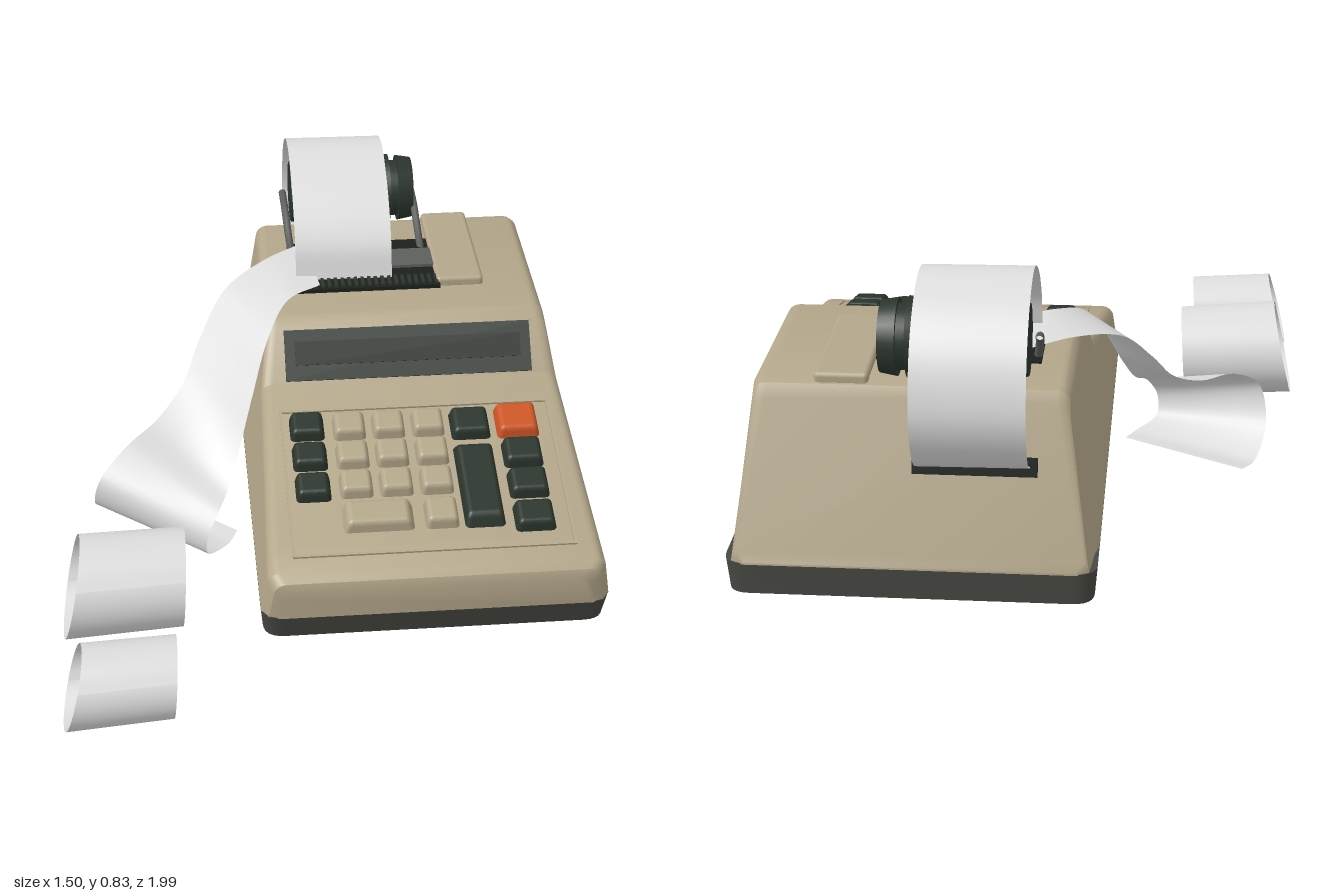
import * as THREE from 'three';
import { RoundedBoxGeometry } from 'three/addons/geometries/RoundedBoxGeometry.js';
import { toCreasedNormals } from 'three/addons/utils/BufferGeometryUtils.js';

const CX = 0.27; // centre line of the machine

const material = (name, color, side = THREE.FrontSide) => {
  const m = new THREE.MeshStandardMaterial({ color, side });
  m.name = name;
  return m;
};

// Skin a list of equally long point rows
function loft(rows, caps = false) {
  const n = rows[0].length, index = [];
  for (let i = 0; i < rows.length - 1; i++)
    for (let j = 0; j < n - 1; j++) {
      const a = i * n + j, b = a + n;
      index.push(a, b, a + 1, a + 1, b, b + 1);
    }
  if (caps) {
    const e = (rows.length - 1) * n;
    for (let j = 1; j < n - 1; j++) index.push(0, j, j + 1, e, e + j + 1, e + j);
  }
  const g = new THREE.BufferGeometry();
  g.setAttribute('position', new THREE.Float32BufferAttribute(rows.flat(2), 3));
  g.setIndex(index);
  g.computeVertexNormals();
  return g;
}

// Housing: cross-sections running from front to back [z, top, inset]
function housingGeometry() {
  const stations = [[0.62, 0.19, 0.05], [0.612, 0.212, 0.02], [0.585, 0.23, 0], [0.5, 0.251, 0],
    [-0.09, 0.395, 0], [-0.2, 0.52, 0], [-0.235, 0.54, 0], [-0.74, 0.553, 0],
    [-0.775, 0.542, 0.005], [-0.795, 0.51, 0.01], [-0.895, 0.12, 0.02], [-0.91, 0.095, 0.05]];
  const rows = stations.map(([z, top, inset]) => {
    const r = Math.min(0.035, (top - 0.09) * 0.5);
    const half = y => 0.48 - 0.165 * (y - 0.09) - inset;
    const side = [[half(0.09), 0.09], [half(top - r), top - r]];
    for (let k = 1; k <= 4; k++) {
      const a = k * Math.PI / 8;
      side.push([half(top - r) - r * (1 - Math.cos(a)), top - r + r * Math.sin(a)]);
    }
    const put = (x, y) => [CX + x, y, z > 0.49 ? z - (top - y) * 0.15 : z];
    return [...side.map(([x, y]) => put(x, y)), ...side.reverse().map(([x, y]) => put(-x, y))];
  });
  return toCreasedNormals(loft(rows, true), 0.5);
}

// Base tray: rounded plan, narrower at the bottom
function baseGeometry() {
  const s = new THREE.Shape(), w = 0.48, f = -0.605, b = 0.91, r = 0.06;
  s.moveTo(-w + r, f).lineTo(w - r, f).quadraticCurveTo(w, f, w, f + r)
    .lineTo(w, b - r).quadraticCurveTo(w, b, w - r, b)
    .lineTo(-w + r, b).quadraticCurveTo(-w, b, -w, b - r)
    .lineTo(-w, f + r).quadraticCurveTo(-w, f, -w + r, f);
  const g = new THREE.ExtrudeGeometry(s, { depth: 0.088, bevelEnabled: false, curveSegments: 6 });
  g.rotateX(-Math.PI / 2).translate(CX, 0.005, 0);
  const p = g.attributes.position;
  for (let i = 0; i < p.count; i++) if (p.getY(i) < 0.05) {
    p.setX(i, CX + (p.getX(i) - CX) * 0.985);
    p.setZ(i, p.getZ(i) > 0 ? p.getZ(i) * 0.95 : p.getZ(i) * 0.993);
  }
  return toCreasedNormals(g, 0.6);
}

// Key cap tapering towards its top, with a small dish
function keyGeometry(w, d) {
  const h = 0.055, g = new RoundedBoxGeometry(w, h, d, 3, 0.014), p = g.attributes.position;
  for (let i = 0; i < p.count; i++) {
    const t = p.getY(i) / h + 0.5;
    p.setX(i, p.getX(i) * (1 - 0.2 * t));
    p.setZ(i, p.getZ(i) * (1 - 0.2 * t));
  }
  g.computeVertexNormals();
  return g;
}

const vectors = list => list.map(p => new THREE.Vector3(...p));

// Paper strip ruled between two edge curves
function stripGeometry(edgeA, edgeB, steps = 60) {
  const a = new THREE.CatmullRomCurve3(vectors(edgeA)), b = new THREE.CatmullRomCurve3(vectors(edgeB));
  const rows = [];
  for (let i = 0; i <= steps; i++) {
    const p = a.getPoint(i / steps), q = b.getPoint(i / steps);
    rows.push([0, 0.25, 0.5, 0.75, 1].map(t => p.clone().lerp(q, t).toArray()));
  }
  return loft(rows);
}

// Loose curl: a spiral of one and a half turns between two end centres
function curlGeometry(left, right, radius) {
  const edge = (c, k) => {
    const pts = [];
    for (let i = 0; i <= 24; i++) {
      const a = i / 24 * Math.PI * 3 + 0.6, r = radius * k * (1 - 0.06 * i / 24);
      pts.push([c[0] + 0.03 * Math.sin(a) * (k > 1 ? 1 : 0.3), c[1] + r * Math.sin(a), c[2] + r * 1.12 * Math.cos(a)]);
    }
    return pts;
  };
  return stripGeometry(edge(left, 1.02), edge(right, 0.98), 72);
}

export function createModel() {
  const tan = material('tan plastic', 0xb3a68a);
  const dark = material('dark green plastic', 0x2b352d);
  const black = material('black recess', 0x1c201b);
  const baseGrey = material('base grey', 0x484843);
  const orange = material('orange key', 0xcc5524);
  const metal = material('grey metal', 0x5c5f5c);
  const paper = material('paper', 0xdedede, THREE.DoubleSide);

  const model = new THREE.Group();
  model.name = 'addingMachine';
  const add = (name, geometry, mat, pos = [0, 0, 0], parent = model) => {
    const m = new THREE.Mesh(geometry, mat);
    m.name = name;
    m.position.set(...pos);
    parent.add(m);
    return m;
  };
  const box = (w, h, d) => new THREE.BoxGeometry(w, h, d);

  add('housing', housingGeometry(), tan);
  add('base', baseGeometry(), baseGrey);

  // Display window on the steep face
  const display = new THREE.Group();
  display.name = 'display';
  display.position.set(CX, 0.456, -0.144);
  display.rotation.x = 0.849;
  model.add(display);
  add('displayFrame', box(0.72, 0.008, 0.15), dark, [0, 0.003, 0], display);
  add('displaySlot', box(0.66, 0.004, 0.07), black, [0, 0.008, -0.005], display);

  // Keyboard on the shallow slope
  const slope = Math.atan(0.244), cos = Math.cos(slope);
  const keyboard = new THREE.Group();
  keyboard.name = 'keyboard';
  keyboard.position.set(0, 0.395 - 0.09 * 0.244, 0);
  keyboard.rotation.x = slope;
  model.add(keyboard);
  for (const x of [-0.115, 0.655]) add('panelRim', box(0.008, 0.008, 0.53), tan, [x, 0.002, 0.285], keyboard);
  for (const z of [0.02, 0.55]) add('panelRim', box(0.778, 0.008, 0.008), tan, [CX, 0.002, z], keyboard);
  const key = (name, x, z, w, d, mat) => add(name, keyGeometry(w, d / cos), mat, [x, 0.009, z / cos], keyboard);
  for (const z of [0.085, 0.195, 0.305]) key('functionKey', -0.045, z, 0.105, 0.095, dark);
  for (const z of [0.09, 0.195, 0.3])
    for (const x of [0.075, 0.187, 0.3]) key('numberKey', x, z, 0.1, 0.092, tan);
  key('zeroKey', 0.125, 0.415, 0.21, 0.1, tan);
  key('pointKey', 0.3, 0.415, 0.1, 0.1, tan);
  key('operatorKey', 0.42, 0.1, 0.12, 0.11, dark);
  key('totalKey', 0.418, 0.32, 0.12, 0.31, dark);
  key('clearKey', 0.555, 0.097, 0.13, 0.12, orange);
  for (const z of [0.215, 0.325, 0.44]) key('operatorKey', 0.555, z, 0.12, 0.1, dark);

  // Printer well, tear bar and raised cover
  add('printerWell', box(0.44, 0.012, 0.28), black, [0.17, 0.55, -0.487]);
  add('printHead', box(0.14, 0.016, 0.1), metal, [0.315, 0.557, -0.505]);
  for (let i = 0; i < 22; i++) add('tearBarTooth', box(0.01, 0.012, 0.05), dark, [-0.04 + i * 0.02, 0.557, -0.378]);
  add('printerCover', new RoundedBoxGeometry(0.14, 0.036, 0.41, 2, 0.012), tan, [0.45, 0.552, -0.565]);
  const slot = add('paperSlot', box(0.32, 0.008, 0.05), black, [0.105, 0.355, -0.836]);
  slot.rotation.x = -1.32;

  // Paper spool with its support arms
  const spool = (name, r0, r1, x0, x1) => {
    const m = add(name, new THREE.CylinderGeometry(r1, r0, x1 - x0, 28), dark, [(x0 + x1) / 2, 0.67, -0.755]);
    m.rotation.z = -Math.PI / 2;
  };
  spool('spoolCore', 0.055, 0.055, -0.03, 0.3);
  spool('spoolFlange', 0.1, 0.104, 0.245, 0.275);
  spool('spoolRim', 0.085, 0.085, 0.275, 0.3);
  spool('spoolKnob', 0.1, 0.092, 0.3, 0.345);
  spool('spoolFlange', 0.092, 0.104, -0.03, 0.03);
  for (const x of [0.352, -0.045]) {
    const path = new THREE.CatmullRomCurve3(vectors([[x + 0.008, 0.54, -0.575], [x, 0.6, -0.615], [x - 0.005, 0.65, -0.68], [x - 0.008, 0.67, -0.755]]));
    add('spoolArm', new THREE.TubeGeometry(path, 14, 0.011, 8), metal);
  }

  // Paper loop around the spool
  const loop = [[0.56, -0.4], [0.66, -0.43], [0.775, -0.54], [0.84, -0.71], [0.8, -0.86], [0.7, -0.96],
    [0.56, -0.998], [0.46, -0.97], [0.39, -0.91], [0.355, -0.83]];
  add('paperLoop', stripGeometry(loop.map(p => [-0.037, ...p]), loop.map(p => [0.25, p[0] - 0.003, p[1]])), paper);

  // Printed tape falling over the side and curling on the table
  add('paperTape', stripGeometry(
    [[0.0, 0.575, -0.6], [-0.13, 0.575, -0.5], [-0.25, 0.54, -0.4], [-0.33, 0.44, -0.3], [-0.39, 0.34, -0.2], [-0.47, 0.285, -0.1],
      [-0.56, 0.265, 0], [-0.64, 0.2, 0.07], [-0.66, 0.1, 0.04], [-0.63, 0.03, -0.07], [-0.59, 0.04, -0.16]],
    [[0.03, 0.57, -0.35], [-0.07, 0.565, -0.28], [-0.14, 0.51, -0.15], [-0.19, 0.4, -0.04], [-0.235, 0.28, 0.05], [-0.275, 0.19, 0.13],
      [-0.31, 0.15, 0.2], [-0.34, 0.09, 0.23], [-0.34, 0.03, 0.22], [-0.28, 0.008, 0.15], [-0.25, 0.01, 0.09]]), paper);
  add('paperCurl', curlGeometry([-0.72, 0.148, 0.49], [-0.415, 0.14, 0.46], 0.136), paper);
  add('paperCurl', curlGeometry([-0.715, 0.123, 0.877], [-0.45, 0.12, 0.852], 0.108), paper);
  return model;
}
